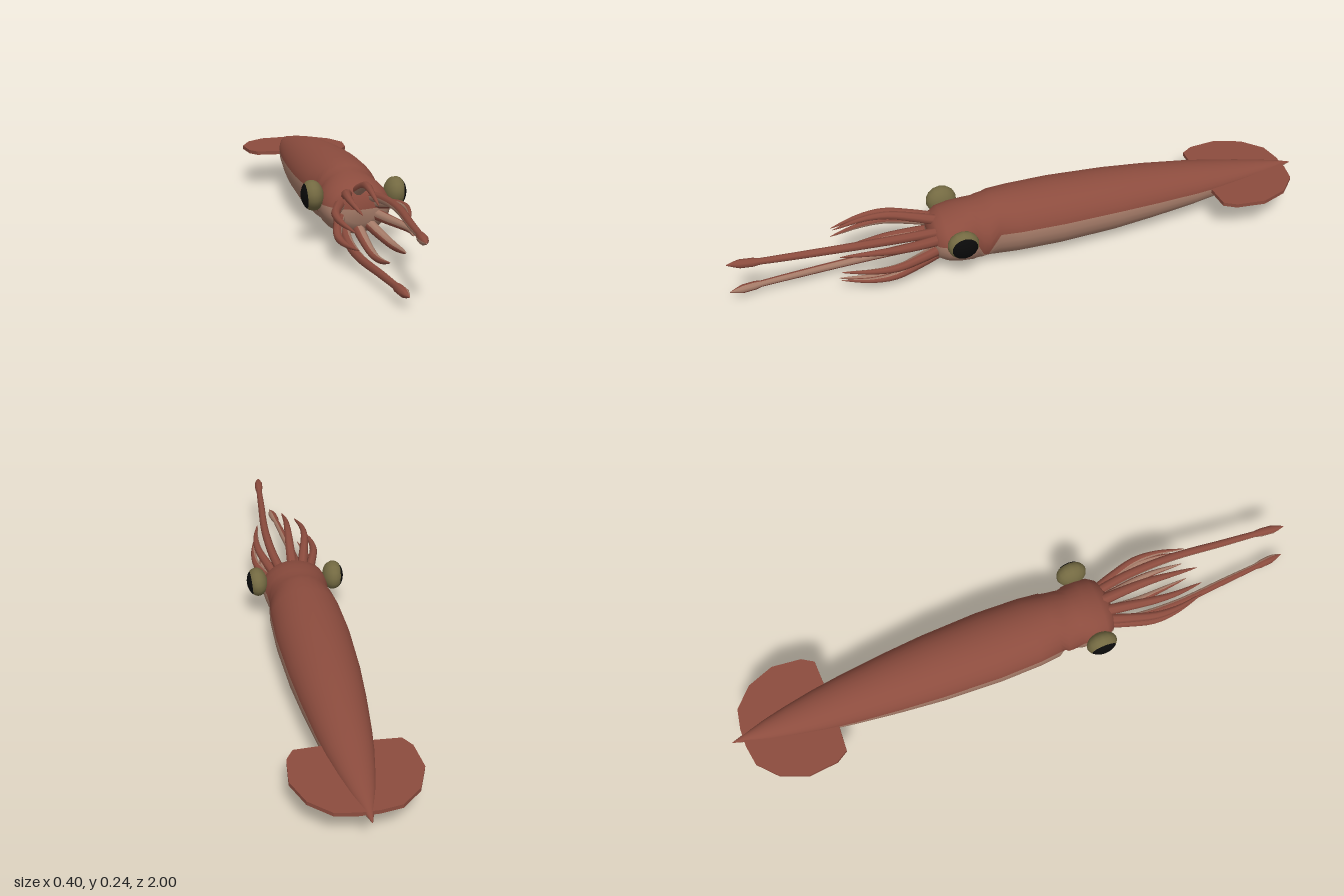
import * as THREE from 'three';

const material = (name, color) => {
  const m = new THREE.MeshStandardMaterial({ color });
  m.name = name;
  return m;
};

// Skins a row of closed rings; colourOf(ring, side) picks a material index per strip
function loft(rings, colourOf) {
  const n = rings[0].length, buckets = [[], []];
  for (let i = 0; i < rings.length - 1; i++) {
    for (let j = 0; j < n; j++) {
      const k = (j + 1) % n;
      const a = i * n + j, b = i * n + k, c = a + n, d = b + n;
      buckets[colourOf(i, j)].push(a, b, d, a, d, c);
    }
  }
  const geo = new THREE.BufferGeometry();
  geo.setAttribute('position', new THREE.Float32BufferAttribute(rings.flat(2), 3));
  geo.setIndex(buckets.flat());
  geo.addGroup(0, buckets[0].length, 0);
  geo.addGroup(buckets[0].length, buckets[1].length, 1);
  geo.computeVertexNormals();
  return geo;
}

export function createModel() {
  const squid = new THREE.Group();
  squid.name = 'squid';
  const red = material('red skin', 0x8c4c3e);
  const pale = material('pale underside', 0xa67c69);
  const olive = material('olive eye', 0x746a42);
  const black = material('black pupil', 0x0a0a0a);
  const skins = [red, pale];
  const add = (name, geo, mat, parent = squid) => {
    const mesh = new THREE.Mesh(geo, mat);
    mesh.name = name;
    parent.add(mesh);
    return mesh;
  };

  // Mantle and head: z, half width, centre y, half height, colour line in degrees
  const sections = [
    [-1, 0.001, 0.137, 0.001, 5], [-0.96, 0.013, 0.137, 0.012, 5],
    [-0.88, 0.036, 0.137, 0.027, 5], [-0.8, 0.054, 0.138, 0.04, 5],
    [-0.7, 0.073, 0.138, 0.057, 5], [-0.6, 0.087, 0.138, 0.073, 6],
    [-0.45, 0.104, 0.139, 0.09, 8], [-0.3, 0.117, 0.139, 0.103, 10],
    [-0.1, 0.125, 0.14, 0.111, 10], [0.05, 0.121, 0.14, 0.111, 10],
    [0.12, 0.113, 0.14, 0.109, 10], [0.155, 0.106, 0.136, 0.106, -40],
    [0.175, 0.105, 0.132, 0.105, -30], [0.205, 0.11, 0.131, 0.103, 8],
    [0.25, 0.115, 0.132, 0.096, 8], [0.295, 0.11, 0.133, 0.084, 8],
    [0.322, 0.092, 0.133, 0.07, 8], [0.337, 0.055, 0.133, 0.045, 5],
    [0.34, 0.001, 0.133, 0.001, 5],
  ];
  const half = 14;
  const bodyRings = sections.map(([z, w, y, h, line]) => {
    const a0 = THREE.MathUtils.degToRad(line), top = Math.PI - 2 * a0;
    return Array.from({ length: half * 2 }, (_, j) => {
      const a = j < half
        ? a0 + top * j / half
        : Math.PI - a0 + (2 * Math.PI - top) * (j - half) / half;
      return [w * Math.cos(a), y + h * Math.sin(a), z];
    });
  });
  add('mantleAndHead', loft(bodyRings, (i, j) => (j < half ? 0 : 1)), skins);

  // Tail fins: one flat plate through the rear of the mantle
  const side = [[0.06, -0.655], [0.165, -0.66], [0.19, -0.7], [0.2, -0.8], [0.165, -0.89], [0.1, -0.95], [0.03, -0.962]];
  const outline = [...side, ...side.map(([x, z]) => [-x, z]).reverse()];
  const finShape = new THREE.Shape(outline.map(([x, z]) => new THREE.Vector2(x, -z)));
  const fin = new THREE.ExtrudeGeometry(finShape, { depth: 0.013, bevelEnabled: false });
  fin.rotateX(-Math.PI / 2).translate(0, 0.133, 0);
  add('tailFins', fin, red);

  // Eyes: squashed balls with a pupil cap facing outward and slightly down
  for (const s of [1, -1]) {
    const eye = new THREE.Group();
    eye.name = s > 0 ? 'leftEye' : 'rightEye';
    eye.position.set(s * 0.135, 0.169, 0.256);
    eye.rotation.z = -s * (Math.PI / 2 + 0.08);
    eye.scale.set(0.05, 0.036, 0.053);
    const cap = 0.95;
    add('eyeball', new THREE.SphereGeometry(1, 14, 8, 0, Math.PI * 2, cap, Math.PI - cap), olive, eye);
    add('pupil', new THREE.SphereGeometry(1, 14, 4, 0, Math.PI * 2, 0, cap), black, eye);
    squid.add(eye);
  }

  // Tapered limb with a pale strip on the side facing the middle
  const limb = (name, points, angle, radiusAt, steps) => {
    const path = new THREE.CatmullRomCurve3(points.map((p) => new THREE.Vector3(...p)));
    const n = 8;
    const rings = path.getPoints(steps).map((p, i) => {
      const r = radiusAt(i / steps);
      return Array.from({ length: n }, (_, j) => {
        const a = angle + (j + 0.5) * 2 * Math.PI / n;
        return [p.x + r * Math.cos(a), p.y + r * Math.sin(a), p.z];
      });
    });
    add(name, loft(rings, (i, j) => (j === 3 || j === 2 ? 1 : 0)), skins);
  };

  // Ten limbs around the mouth: eight arms and two long tentacles
  const armPath = [[0.055, 0.3], [0.083, 0.38], [0.108, 0.47], [0.108, 0.55], [0.088, 0.65]];
  const armRadius = (t) => Math.max(0.001, 0.0195 * Math.pow(1 - t, 0.55));
  const clubRadius = (t) => {
    if (t < 0.8) return 0.017 - 0.008 * t;
    return t < 0.93 ? 0.0145 : Math.max(0.001, 0.0145 * (1 - t) / 0.07);
  };
  for (let k = 0; k < 10; k++) {
    const angle = Math.PI / 2 - k * Math.PI / 5;
    if (k === 1 || k === 6) {
      const s = k === 1 ? 1 : -1;
      const spots = [[0.04, 0.05, 0.3], [0.055, 0.064, 0.42], [0.058, 0.072, 0.58], [0.042, 0.07, 0.78], [0.032, 0.07, 0.9], [0.022, 0.072, 1]];
      limb(s > 0 ? 'upperTentacle' : 'lowerTentacle',
        spots.map(([x, y, z]) => [s * x, 0.118 + s * y, z]), angle, clubRadius, 24);
    } else {
      const points = armPath.map(([r, z], i) => {
        const a = angle + 0.05 * i;
        return [r * Math.cos(a), 0.13 + r * Math.sin(a), z];
      });
      limb('arm', points, angle, armRadius, 14);
    }
  }
  return squid;
}
